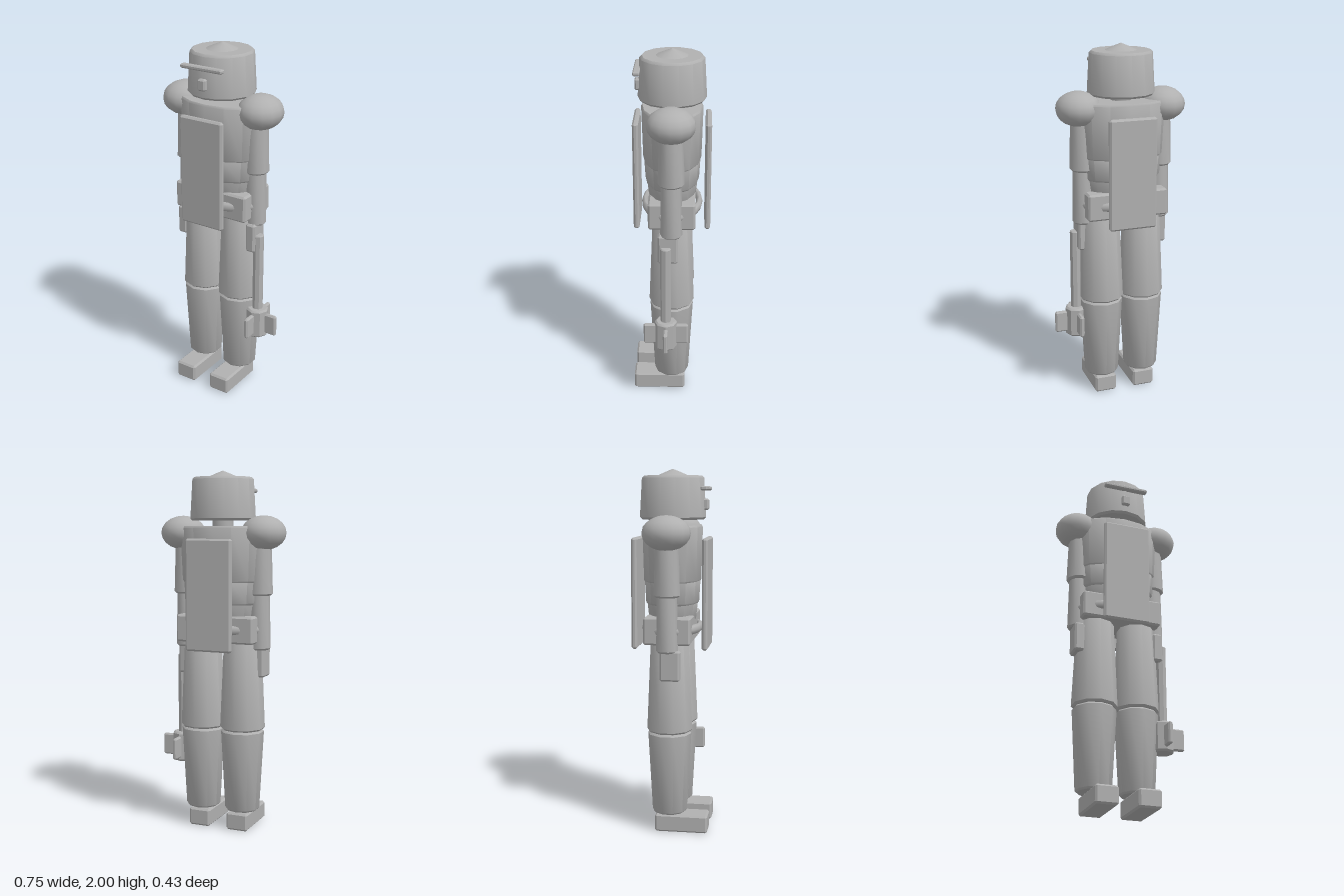
import * as THREE from 'three';
import { toCreasedNormals } from 'three/addons/utils/BufferGeometryUtils.js';
import { ConvexGeometry } from 'three/addons/geometries/ConvexGeometry.js';

export function createModel() {
  const metal = new THREE.MeshStandardMaterial({ color: 0xb0b0b0 });
  metal.name = 'plain grey';

  const model = new THREE.Group();
  model.name = 'armouredFigure';
  const body = new THREE.Group();
  body.name = 'body';
  body.position.set(-0.012, 0, -0.004);
  model.add(body);

  function add(name, geometry, x = 0, y = 0, z = 0, parent = body) {
    const mesh = new THREE.Mesh(geometry, metal);
    mesh.name = name;
    mesh.position.set(x, y, z);
    parent.add(mesh);
    return mesh;
  }

  // Box with chamfered edges
  function bevelBox(w, h, d, b = 0.01) {
    const half = [w / 2, h / 2, d / 2];
    const points = [];
    for (const sx of [-1, 1]) for (const sy of [-1, 1]) for (const sz of [-1, 1]) {
      for (let axis = 0; axis < 3; axis++) {
        const p = half.map((v, i) => (i === axis ? v : v - b));
        points.push(new THREE.Vector3(p[0] * sx, p[1] * sy, p[2] * sz));
      }
    }
    return new ConvexGeometry(points);
  }

  // Tapered cylinder with chamfered rims; depth squashes it along z
  function bevelCylinder(rBottom, rTop, y0, y1, sides = 10, depth = 1, b = 0.01) {
    const profile = [
      [0, y0], [rBottom - b, y0], [rBottom, y0 + b],
      [rTop, y1 - b], [rTop - b, y1], [0, y1],
    ].map(([r, y]) => new THREE.Vector2(r, y));
    const geometry = new THREE.LatheGeometry(profile, sides);
    geometry.scale(1, 1, depth);
    return toCreasedNormals(geometry, 0.72);
  }

  // Helmet, shallow crown, eye bar and mouth piece
  add('helmet', bevelCylinder(0.183, 0.171, 1.73, 1.964, 14, 1, 0.012));
  const crown = [[0.09, 1.962], [0.045, 1.982], [0, 2]].map(([r, y]) => new THREE.Vector2(r, y));
  add('helmetCrown', new THREE.LatheGeometry(crown, 14));
  add('eyeBar', bevelBox(0.256, 0.022, 0.036, 0.006), 0, 1.896, 0.183);
  add('mouthPiece', bevelBox(0.047, 0.062, 0.04, 0.008), 0, 1.81, 0.178);
  add('neck', bevelCylinder(0.058, 0.058, 1.66, 1.76));

  // Torso sections
  add('chest', bevelCylinder(0.243, 0.255, 1.395, 1.7, 14, 0.65));
  add('abdomen', bevelCylinder(0.226, 0.236, 1.275, 1.41, 14, 0.65));
  add('waist', bevelCylinder(0.2, 0.215, 1.18, 1.29, 14, 0.65));
  add('pelvis', bevelBox(0.454, 0.15, 0.255), 0, 1.141, -0.002);

  // Belt ring passing through the pelvis
  const belt = new THREE.TorusGeometry(0.225, 0.026, 8, 20);
  belt.rotateX(Math.PI / 2);
  belt.scale(1, 1, 0.67);
  add('belt', belt, 0, 1.141, 0);

  // Flat plates on the front and back
  add('frontPlate', bevelBox(0.266, 0.607, 0.032), 0, 1.33, 0.192);
  add('backPlate', bevelBox(0.266, 0.607, 0.032), 0, 1.33, -0.195);

  // Limbs, mirrored
  for (const [side, s] of [['left', 1], ['right', -1]]) {
    const arm = new THREE.Group();
    arm.name = side + 'Arm';
    const leg = new THREE.Group();
    leg.name = side + 'Leg';
    body.add(arm, leg);

    const pad = add('shoulder', new THREE.SphereGeometry(1, 14, 10), s * 0.24, 1.664, 0, arm);
    pad.scale.set(0.123, 0.094, 0.13);
    add('upperArm', bevelCylinder(0.071, 0.062, 1.326, 1.65), s * 0.22, 0, 0, arm);
    add('forearm', bevelCylinder(0.06, 0.055, 1.028, 1.35), s * 0.22, 0, 0, arm);
    add('hand', bevelBox(0.057, 0.165, 0.11), s * 0.228, 0.958, 0.018, arm);

    add('thigh', bevelCylinder(0.126, 0.104, 0.575, 1.1), s * 0.12, 0, 0, leg);
    add('shin', bevelCylinder(0.097, 0.121, 0.11, 0.572), s * 0.12, 0, 0, leg);
    add('foot', bevelBox(0.125, 0.1, 0.293), s * 0.115, 0.05, 0.07, leg);
  }

  // Flanged mace hanging from the left hand
  const mace = new THREE.Group();
  mace.name = 'mace';
  mace.position.set(0.26, 0, 0.029);
  body.add(mace);
  add('maceHandle', bevelCylinder(0.03, 0.03, 0.48, 0.976, 8, 1, 0.006), 0, 0, 0, mace);
  add('maceHead', bevelCylinder(0.063, 0.063, 0.352, 0.522, 8), 0, 0, 0, mace);
  for (let i = 0; i < 4; i++) {
    const angle = (i * Math.PI) / 2;
    const flange = add('maceFlange', bevelBox(0.085, 0.123, 0.026, 0.008),
      Math.cos(angle) * 0.082, 0.436, -Math.sin(angle) * 0.082, mace);
    flange.rotation.y = angle;
  }

  return model;
}
